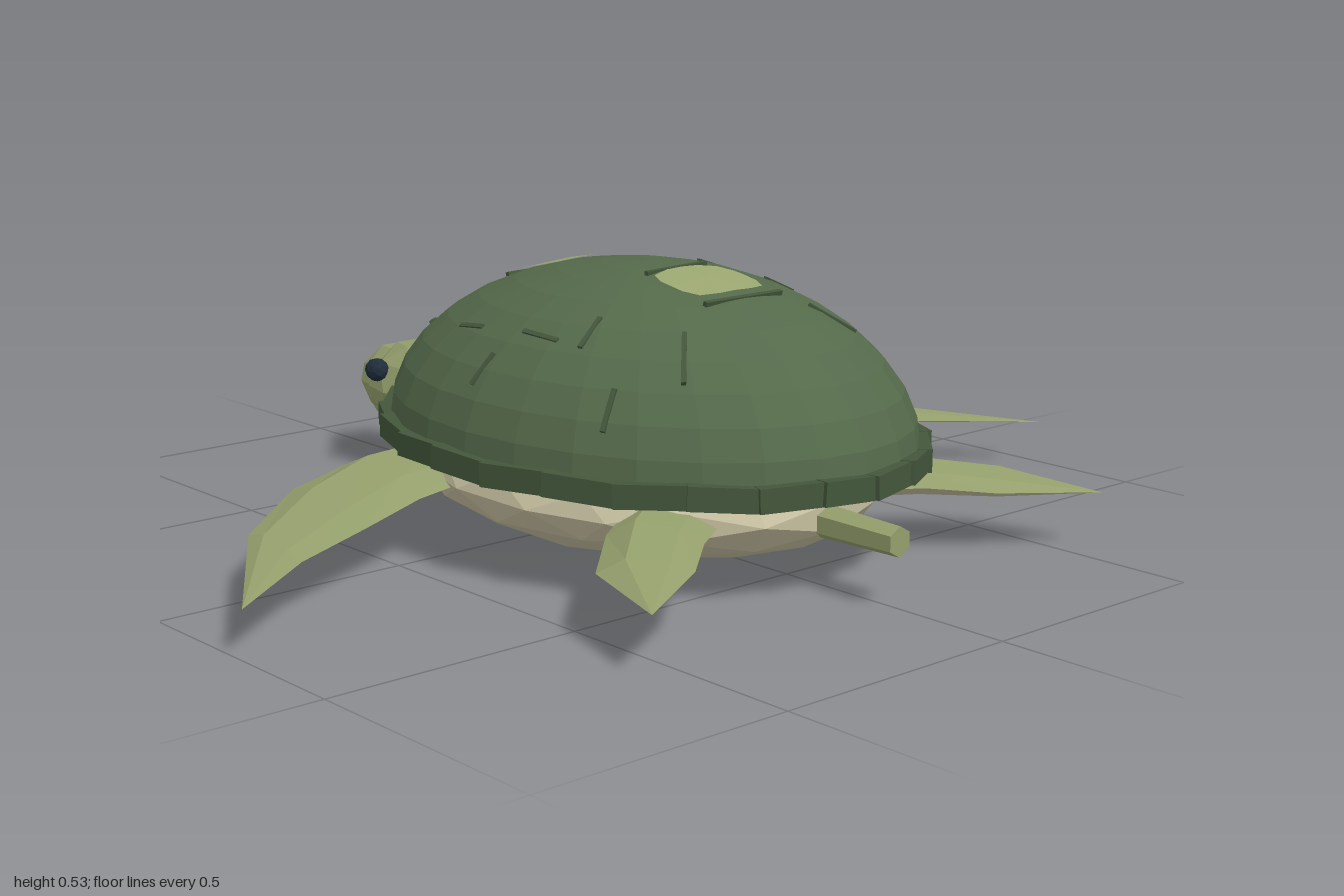
import * as THREE from 'three';

const mat = (name, color) => {
  const m = new THREE.MeshStandardMaterial({ color, flatShading: true });
  m.name = name;
  return m;
};

// Shell dome: half ellipsoid
const DOME = { x: 0.44, y: 0.32, z: 0.575, baseY: 0.21, cz: 0.12 };

function domePoint(x, z) {
  const dz = z - DOME.cz;
  const h = Math.sqrt(Math.max(0, 1 - (x / DOME.x) ** 2 - (dz / DOME.z) ** 2)) * DOME.y;
  const normal = new THREE.Vector3(x / DOME.x ** 2, h / DOME.y ** 2, dz / DOME.z ** 2).normalize();
  return { pos: new THREE.Vector3(x, DOME.baseY + h, z), normal };
}

// Lay a mesh flat on the dome, turned by yaw about the surface normal
function layOnDome(mesh, x, z, yaw) {
  const { pos, normal } = domePoint(x, z);
  const up = new THREE.Vector3(0, 1, 0);
  mesh.quaternion.setFromUnitVectors(up, normal)
    .multiply(new THREE.Quaternion().setFromAxisAngle(up, yaw));
  mesh.position.copy(pos).addScaledVector(normal, -0.003);
}

// Rounded patch that follows the dome just above its surface
function patchGeometry(cz, rx, rz) {
  const g = new THREE.CircleGeometry(1, 16).rotateX(-Math.PI / 2);
  const p = g.attributes.position;
  for (let i = 0; i < p.count; i++) {
    const x = p.getX(i), z = p.getZ(i);
    // Vertex 0 is the centre; the others move out to a rounded rectangle
    const k = i === 0 ? 0 : 1 / Math.pow(x ** 4 + z ** 4, 0.25);
    const { pos, normal } = domePoint(x * k * rx, cz + z * k * rz);
    pos.addScaledVector(normal, 0.004);
    p.setXYZ(i, pos.x, pos.y, pos.z);
  }
  g.computeVertexNormals();
  return g;
}

// Tapered blade from sections [leadX, leadZ, trailX, trailZ, y, halfThickness];
// group 0 is the upper side, group 1 the underside
function flipperGeometry(sections, side) {
  const ring = ([lx, lz, tx, tz, y, h]) =>
    [[0, 0], [0.3, 1], [0.75, 0.7], [1, 0], [0.75, -0.7], [0.3, -1]].map(([t, v]) =>
      [side * (lx + (tx - lx) * t), y + v * h, lz + (tz - lz) * t]);
  const pos = [];
  const tri = (a, b, c) => pos.push(...a, ...(side > 0 ? b : c), ...(side > 0 ? c : b));
  const rings = sections.map(ring);
  for (let j = 0; j < 6; j++) {
    const k = (j + 1) % 6;
    for (let i = 0; i < rings.length - 1; i++) {
      const a = rings[i][j], b = rings[i][k], c = rings[i + 1][k], d = rings[i + 1][j];
      tri(a, b, c);
      if (i < rings.length - 2) tri(a, c, d);
    }
  }
  const g = new THREE.BufferGeometry();
  g.setAttribute('position', new THREE.Float32BufferAttribute(pos, 3));
  g.computeVertexNormals();
  const half = pos.length / 6;
  g.addGroup(0, half, 0);
  g.addGroup(half, half, 1);
  return g;
}

export function createModel() {
  const model = new THREE.Group();
  model.name = 'seaTurtle';
  const shellMat = mat('shell green', 0x54694a);
  const rimMat = mat('rim dark green', 0x43563b);
  const skinMat = mat('skin olive', 0x949f6c);
  const paleMat = mat('pale scute olive', 0x9aa670);
  const bellyMat = mat('belly cream', 0xc4bd9e);
  const eyeMat = mat('eye navy', 0x1f2d3a);

  const add = (name, geo, material, x = 0, y = 0, z = 0, parent = model) => {
    const m = new THREE.Mesh(geo, material);
    m.name = name;
    m.position.set(x, y, z);
    parent.add(m);
    return m;
  };
  const blob = (name, material, r, p, detail = 1) =>
    add(name, new THREE.IcosahedronGeometry(1, detail).scale(...r), material, ...p);

  // Shell dome and its closed underside
  const shell = new THREE.Group();
  shell.name = 'shell';
  model.add(shell);
  add('dome', new THREE.SphereGeometry(1, 28, 9, 0, Math.PI * 2, 0, Math.PI / 2)
    .scale(DOME.x, DOME.y, DOME.z), shellMat, 0, DOME.baseY, DOME.cz, shell);
  add('shellUnderside', new THREE.CircleGeometry(1, 28).rotateX(Math.PI / 2)
    .scale(DOME.x, 1, DOME.z), rimMat, 0, 0.2, DOME.cz, shell);

  // Rim of overlapping plates around the ellipse, each turned and tipped a little
  const count = 26;
  for (let i = 0; i < count; i++) {
    const p = (a) => new THREE.Vector3(Math.cos(a) * 0.435, 0.207, DOME.cz + Math.sin(a) * 0.57);
    const a = (i / count) * Math.PI * 2, step = Math.PI / count;
    const p0 = p(a - step), p1 = p(a + step), mid = p(a);
    const block = add('rimPlate', new THREE.BoxGeometry(p0.distanceTo(p1) + 0.008, 0.044, 0.04),
      rimMat, mid.x, mid.y, mid.z, shell);
    block.rotation.set(0, 0.07 - Math.atan2(p1.z - p0.z, p1.x - p0.x), i % 2 ? 0.05 : -0.03);
  }

  // Short dark seams between the scutes: [x, z, yaw, length]
  const seams = [
    [-0.01, -0.205, 0, 0.14], [0.18, -0.12, 0, 0.07], [0.18, 0.11, 0.1, 0.09],
    [0, 0.2, 0.08, 0.16], [0.22, 0.25, 0.1, 0.09], [0, 0.38, 0, 0.19],
    [-0.31, -0.02, 1.5, 0.08], [-0.31, 0.18, 1.6, 0.09], [-0.27, 0.27, 0.3, 0.08],
    [0.22, -0.28, -0.8, 0.1], [-0.2, -0.29, 0.9, 0.08], [0.17, 0.44, -0.8, 0.1],
    [-0.21, 0.45, 0.8, 0.12], [-0.34, 0.4, 0.4, 0.08], [0.34, 0.36, -0.5, 0.08],
    [0.38, 0.08, 0.2, 0.07], [-0.38, 0.1, -0.2, 0.07],
  ];
  for (const [x, z, yaw, len] of seams) {
    layOnDome(add('scuteSeam', new THREE.BoxGeometry(len, 0.009, 0.009), rimMat, 0, 0, 0, shell), x, z, yaw);
  }

  // Pale scutes along the spine
  for (const z of [-0.105, 0.287]) {
    add('paleScute', patchGeometry(z, 0.092, 0.072), paleMat, 0, 0, 0, shell);
  }

  // Body underside
  blob('belly', bellyMat, [0.385, 0.13, 0.5], [0, 0.13, 0.115], 2);

  // Neck, head, snout and jaw
  add('neck', new THREE.CylinderGeometry(0.085, 0.08, 0.2, 8).rotateX(-Math.PI / 2).scale(1.3, 1, 1),
    skinMat, 0, 0.158, -0.41);
  blob('head', skinMat, [0.136, 0.105, 0.155], [0, 0.18, -0.555]);
  blob('snout', skinMat, [0.1, 0.088, 0.135], [0, 0.175, -0.637]);
  blob('jaw', skinMat, [0.066, 0.04, 0.08], [0, 0.125, -0.672]);

  // Tail
  add('tail', new THREE.CylinderGeometry(0.028, 0.034, 0.24, 6).rotateX(Math.PI / 2),
    skinMat, 0, 0.122, 0.65);

  // Eyes and flippers on both sides
  const front = [
    [0.22, -0.28, 0.22, -0.06, 0.125, 0.042],
    [0.40, -0.305, 0.45, 0.0, 0.12, 0.036],
    [0.57, -0.24, 0.62, 0.07, 0.11, 0.026],
    [0.78, -0.06, 0.80, 0.14, 0.10, 0.015],
    [1.0, 0.27, 1.0, 0.27, 0.09, 0],
  ];
  const rear = [
    [0.22, 0.32, 0.16, 0.50, 0.13, 0.036],
    [0.37, 0.43, 0.28, 0.58, 0.13, 0.032],
    [0.51, 0.565, 0.38, 0.665, 0.12, 0.024],
    [0.565, 0.765, 0.565, 0.765, 0.11, 0],
  ];
  const blade = [skinMat, bellyMat];
  for (const s of [1, -1]) {
    const label = s > 0 ? 'Left' : 'Right';
    add('frontFlipper' + label, flipperGeometry(front, s), blade);
    add('rearFlipper' + label, flipperGeometry(rear, s), blade);
    blob('eye' + label, eyeMat, [0.024, 0.025, 0.03], [s * 0.124, 0.222, -0.592]);
  }
  return model;
}
